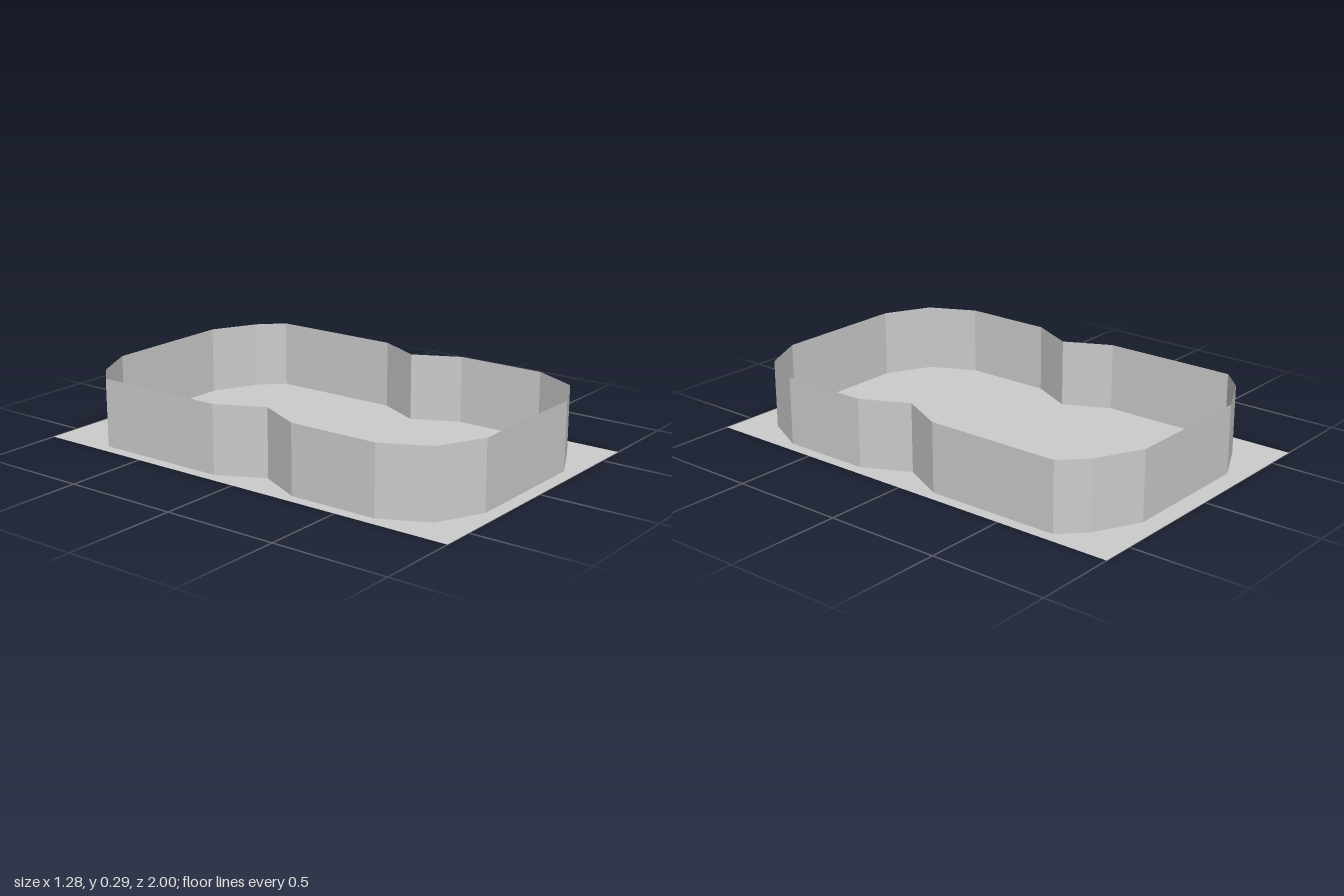
import * as THREE from 'three';

const HEIGHT = 0.294;

// Right half of the wall outline (x, z), front to back
const HALF = [
  [0.294, 0.94], [0.49, 0.843], [0.588, 0.647], [0.588, 0.257], [0.49, 0.06],
  [0.588, -0.137], [0.588, -0.722], [0.49, -0.82], [0.294, -0.918],
];

export function createModel() {
  const group = new THREE.Group();
  const grey = new THREE.MeshStandardMaterial({ color: 0xcccccc, side: THREE.DoubleSide, flatShading: true });
  grey.name = 'plain grey';

  // Flat base sheet
  const base = new THREE.Mesh(new THREE.PlaneGeometry(1.276, 2).rotateX(-Math.PI / 2), grey);
  base.name = 'baseSheet';
  group.add(base);

  // Thin upright wall following the mirrored outline, one quad per side
  const outline = [...HALF, ...HALF.map(([x, z]) => [-x, z]).reverse()];
  const positions = [];
  outline.forEach(([ax, az], i) => {
    const [bx, bz] = outline[(i + 1) % outline.length];
    positions.push(
      ax, 0, az, bx, 0, bz, bx, HEIGHT, bz,
      ax, 0, az, bx, HEIGHT, bz, ax, HEIGHT, az,
    );
  });
  const wallGeometry = new THREE.BufferGeometry();
  wallGeometry.setAttribute('position', new THREE.Float32BufferAttribute(positions, 3));
  wallGeometry.computeVertexNormals();
  const wall = new THREE.Mesh(wallGeometry, grey);
  wall.name = 'perimeterWall';
  group.add(wall);

  return group;
}
